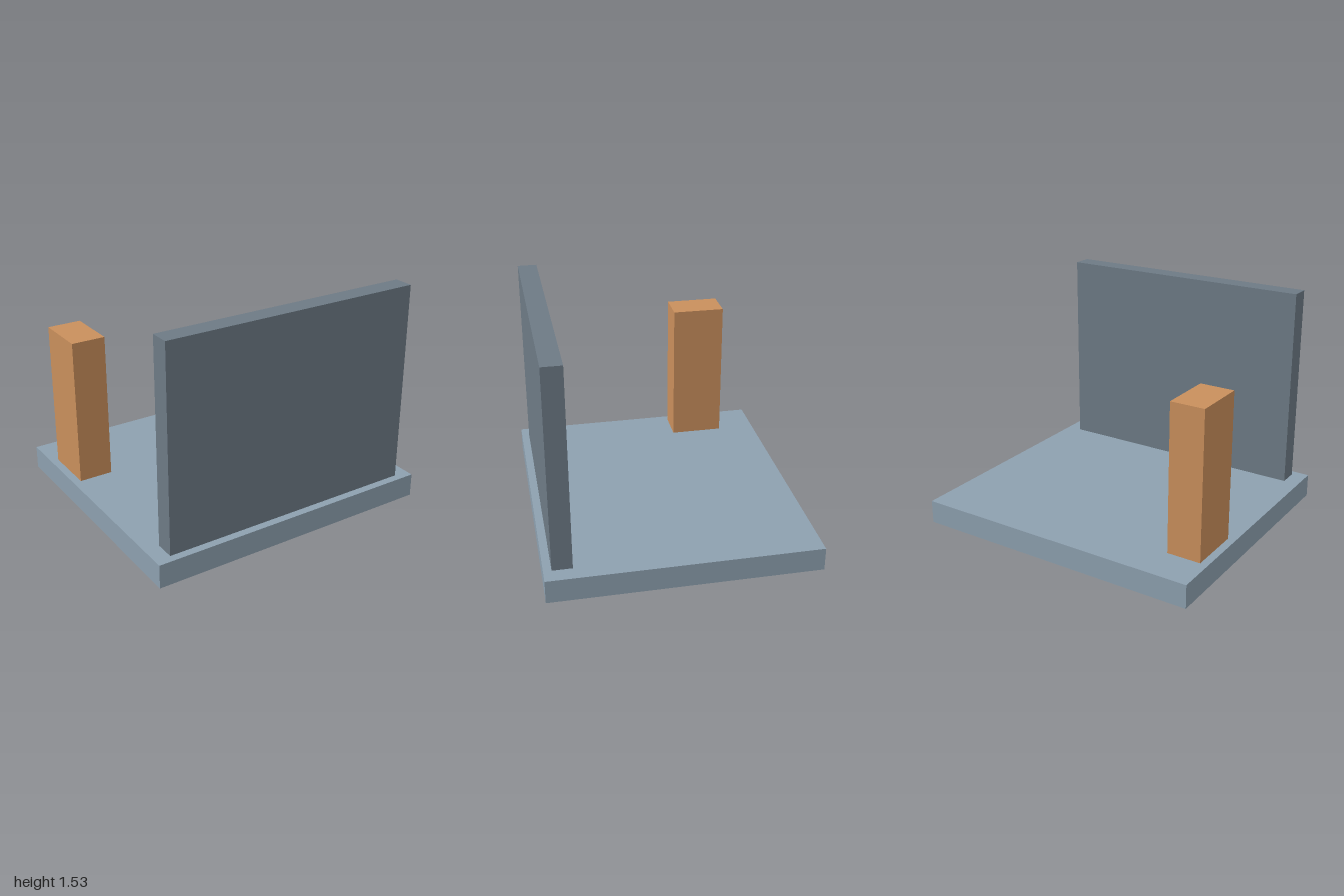
import * as THREE from 'three';

function material(name, color) {
  const m = new THREE.MeshStandardMaterial({ color });
  m.name = name;
  return m;
}

// Box given by its extents along each axis
function block(name, mat, [x0, x1], [y0, y1], [z0, z1]) {
  const mesh = new THREE.Mesh(new THREE.BoxGeometry(x1 - x0, y1 - y0, z1 - z0), mat);
  mesh.position.set((x0 + x1) / 2, (y0 + y1) / 2, (z0 + z1) / 2);
  mesh.name = name;
  return mesh;
}

export function createModel() {
  const group = new THREE.Group();
  group.name = 'slabWithWallAndPost';

  const paleBlue = material('paleBlueGrey', 0x8da0af);
  const slate = material('slateGrey', 0x6d7a85);
  const tan = material('tanOrange', 0xc98f5c);

  const floorTop = 0.16;
  group.add(
    // Floor slab
    block('floorSlab', paleBlue, [-1, 1], [0, floorTop], [-0.895, 0.895]),
    // Wide thin wall along the front edge
    block('frontWall', slate, [-0.895, 0.895], [floorTop, 1.53], [0.71, 0.842]),
    // Upright post near the back right corner
    block('post', tan, [-0.947, -0.716], [floorTop, 1.16], [-0.632, -0.265]),
  );
  return group;
}
